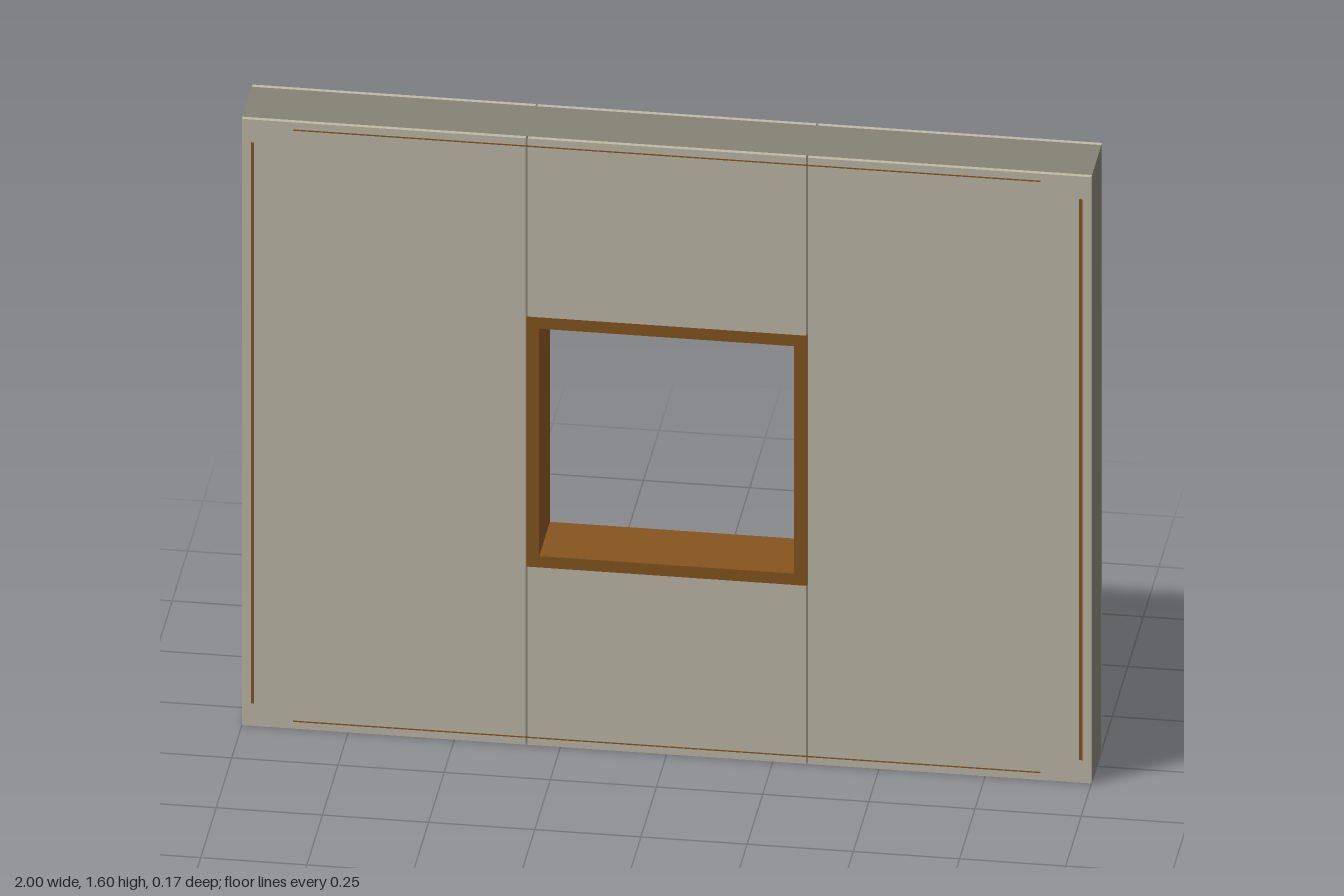
import * as THREE from 'three';

const W = 2, H = 1.6;                 // wall size
const CORE = 0.075, FACE = 0.086;     // half depths of core and finished wall
const OUT = 0.33, IN = 0.30, CY = 0.8; // window frame half sizes and centre height
const GAP = 0.005;                    // joint between panels

const material = (name, color) => {
  const m = new THREE.MeshStandardMaterial({ color });
  m.name = name;
  return m;
};

// Rectangle with a square hole, extruded and centred in depth
function holedSlab(x0, x1, y0, y1, hole, depth) {
  const s = new THREE.Shape();
  s.moveTo(x0, y0).lineTo(x1, y0).lineTo(x1, y1).lineTo(x0, y1).closePath();
  const h = new THREE.Path();
  h.moveTo(-hole, CY - hole).lineTo(-hole, CY + hole).lineTo(hole, CY + hole).lineTo(hole, CY - hole).closePath();
  s.holes.push(h);
  return new THREE.ExtrudeGeometry(s, { depth, bevelEnabled: false }).translate(0, 0, -depth / 2);
}

export function createModel() {
  const group = new THREE.Group();
  group.name = 'windowWall';
  const plaster = material('plaster', 0xbdb9a8);
  const coreGrey = material('coreGrey', 0x858175);
  const wood = material('wood', 0x85551f);

  const add = (name, geometry, mat) => {
    const mesh = new THREE.Mesh(geometry, mat);
    mesh.name = name;
    group.add(mesh);
  };
  const box = (name, x0, x1, y0, y1, z0, z1, mat) =>
    add(name, new THREE.BoxGeometry(x1 - x0, y1 - y0, z1 - z0)
      .translate((x0 + x1) / 2, (y0 + y1) / 2, (z0 + z1) / 2), mat);

  // Solid core and the window frame lining the opening
  add('wallCore', holedSlab(-W / 2, W / 2, 0, H, OUT, CORE * 2), coreGrey);
  add('windowFrame', holedSlab(-OUT, OUT, CY - OUT, CY + OUT, IN, FACE * 2), wood);

  // Facing panels on front and back, separated by narrow joints
  for (const side of [1, -1]) {
    const [z0, z1] = side > 0 ? [CORE, FACE] : [-FACE, -CORE];
    const label = side > 0 ? 'front' : 'back';
    box(label + 'LeftPanel', OUT + GAP / 2, W / 2, 0, H, z0, z1, plaster);
    box(label + 'RightPanel', -W / 2, -OUT - GAP / 2, 0, H, z0, z1, plaster);
    box(label + 'UpperPanel', -OUT + GAP / 2, OUT - GAP / 2, CY + OUT, H, z0, z1, plaster);
    box(label + 'LowerPanel', -OUT + GAP / 2, OUT - GAP / 2, 0, CY - OUT, z0, z1, plaster);
  }

  // Thin inlay strips near the front edges
  for (const x of [-0.975, 0.975])
    box('sideInlay', x - 0.004, x + 0.004, 0.06, 1.54, FACE - 0.004, FACE + 0.001, wood);
  for (const y of [0.02, 1.58])
    box('edgeInlay', -0.88, 0.88, y - 0.0015, y + 0.0015, FACE - 0.004, FACE + 0.001, wood);

  return group;
}
